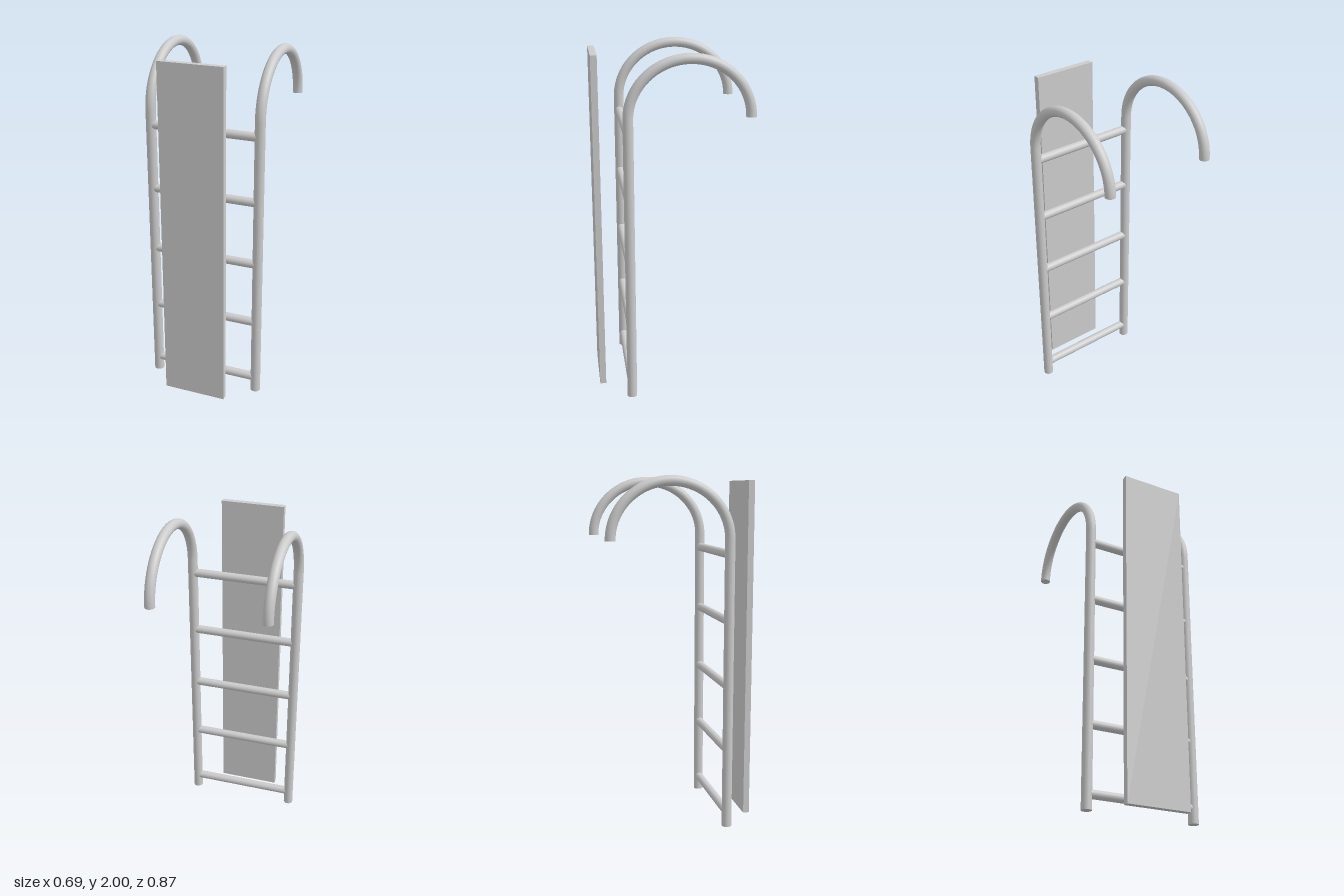
import * as THREE from 'three';

const RAIL_X = 0.317, RAIL_Z = 0.254, RAIL_R = 0.0285, BEND_Y = 1.657;
const BEND_Z = -0.077, BEND_RZ = RAIL_Z - BEND_Z, BEND_RY = 2 - RAIL_R - BEND_Y;

// Half-ellipse sweeping from the top of the upright over to the back
class HookCurve extends THREE.Curve {
  getPoint(t, target = new THREE.Vector3()) {
    const a = t * Math.PI;
    return target.set(0, BEND_Y + BEND_RY * Math.sin(a), BEND_Z + BEND_RZ * Math.cos(a));
  }
}

export function createModel() {
  const model = new THREE.Group();
  const material = new THREE.MeshStandardMaterial({ color: 0xcccccc });

  function add(parent, name, geometry, x, y, z) {
    const mesh = new THREE.Mesh(geometry, material);
    mesh.name = name;
    mesh.position.set(x, y, z);
    parent.add(mesh);
    return mesh;
  }

  // Side rails: upright, curved handrail hook and its flat end
  const upright = new THREE.CylinderGeometry(RAIL_R, RAIL_R, BEND_Y, 32);
  const hook = new THREE.TubeGeometry(new HookCurve(), 64, RAIL_R, 32);
  const hookEnd = new THREE.CircleGeometry(RAIL_R, 32).rotateX(Math.PI / 2);
  for (const side of [1, -1]) {
    const rail = new THREE.Group();
    rail.name = side > 0 ? 'leftRail' : 'rightRail';
    rail.position.x = side * RAIL_X;
    add(rail, 'upright', upright, 0, BEND_Y / 2, RAIL_Z);
    add(rail, 'handrailHook', hook, 0, 0, 0);
    add(rail, 'hookEnd', hookEnd, 0, BEND_Y, BEND_Z - BEND_RZ);
    model.add(rail);
  }

  // Five evenly spaced rungs between the rails
  const rung = new THREE.CylinderGeometry(0.0245, 0.0245, RAIL_X * 2, 32).rotateZ(Math.PI / 2);
  for (let i = 0; i < 5; i++) {
    add(model, `rung${i + 1}`, rung, 0, 0.086 + i * 0.3725, RAIL_Z);
  }

  // Flat board standing in front of the ladder
  add(model, 'frontBoard', new THREE.BoxGeometry(0.368, 1.966, 0.036), 0, 0.993, 0.418);

  return model;
}
